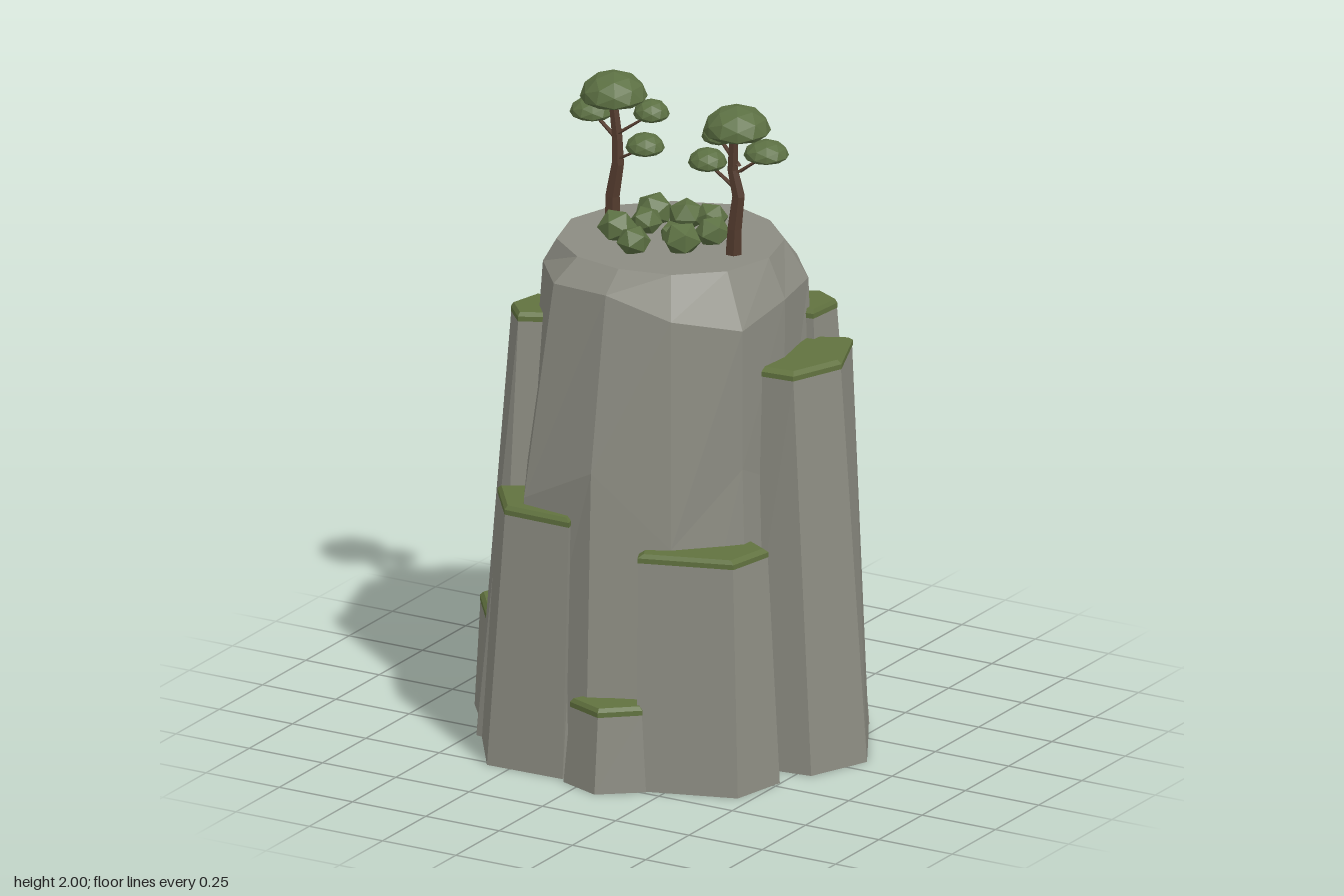
import * as THREE from 'three';

const mat = (name, color) => new THREE.MeshStandardMaterial({ name, color, flatShading: true });

// Skin a list of rings (arrays of [x, y, z], clockwise from above, bottom to top), closed at both ends
function loft(rings) {
  const pos = [];
  const tri = (...p) => p.forEach(v => pos.push(...v));
  const centre = r => [0, 1, 2].map(k => r.reduce((s, p) => s + p[k], 0) / r.length);
  const n = rings[0].length, last = rings[rings.length - 1];
  const lo = centre(rings[0]), hi = centre(last);
  for (let i = 0; i < n; i++) {
    const j = (i + 1) % n;
    for (let r = 0; r < rings.length - 1; r++) {
      const a = rings[r], b = rings[r + 1];
      tri(a[i], b[i], a[j]);
      tri(a[j], b[i], b[j]);
    }
    tri(lo, rings[0][i], rings[0][j]);
    tri(hi, last[j], last[i]);
  }
  const g = new THREE.BufferGeometry();
  g.setAttribute('position', new THREE.Float32BufferAttribute(pos, 3));
  g.computeVertexNormals();
  return g;
}

// Outline at a height, scaled about its own centre
function level(outline, y, s = 1) {
  const cx = outline.reduce((t, p) => t + p[0], 0) / outline.length;
  const cz = outline.reduce((t, p) => t + p[1], 0) / outline.length;
  return outline.map(([x, z]) => [cx + (x - cx) * s, y, cz + (z - cz) * s]);
}

// Faceted ring of the main rock from radii every 30 degrees
const rockRing = (radii, heights) => radii.map((r, i) => {
  const a = i * Math.PI / 6;
  return [r * Math.cos(a), heights[i] ?? heights[0], r * Math.sin(a)];
});

// Leaf clump: dome above, shallow underside
function clump(r, up, down, detail) {
  const g = new THREE.IcosahedronGeometry(1, detail);
  const p = g.attributes.position;
  for (let i = 0; i < p.count; i++) {
    const y = p.getY(i);
    p.setXYZ(i, p.getX(i) * r, y * (y > 0 ? up : down), p.getZ(i) * r);
  }
  g.computeVertexNormals();
  return g;
}

// Tapered limb along a few points
function limb(points, r0, r1, sides) {
  return loft(points.map(([x, y, z], k) => {
    const r = r0 + (r1 - r0) * k / (points.length - 1);
    return Array.from({ length: sides }, (_, i) => {
      const a = i / sides * Math.PI * 2;
      return [x + r * Math.cos(a), y, z + r * Math.sin(a)];
    });
  }));
}

export function createModel() {
  const stone = mat('stone', 0x8c8c82);
  const moss = mat('moss', 0x61723f);
  const leaf = mat('leaf', 0x5c7043);
  const bark = mat('bark', 0x523a2d);
  const root = new THREE.Group();
  root.name = 'rockPillar';
  const add = (parent, name, geo, material) => {
    const m = new THREE.Mesh(geo, material);
    m.name = name;
    parent.add(m);
    return m;
  };

  // Main rock
  add(root, 'mainRock', loft([
    rockRing([.46, .46, .47, .5, .5, .47, .46, .47, .48, .5, .47, .47], [0]),
    rockRing([.38, .42, .43, .47, .5, .42, .4, .44, .44, .49, .44, .42],
      [.85, .95, .72, .95, .82, .9, .8, .95, .8, .9, .8, .9]),
    rockRing([.385, .42, .4, .385, .4, .38, .365, .4, .42, .49, .42, .4],
      [1.42, 1.38, 1.42, 1.48, 1.47, 1.47, 1.48, 1.45, 1.42, 1.4, 1.42, 1.42]),
    rockRing([.33, .33, .32, .31, .32, .34, .345, .34, .33, .35, .33, .33], [1.54]),
  ]), stone);

  // Leaning stone columns with moss caps
  const column = (name, h, top, base) => {
    const g = new THREE.Group();
    g.name = name;
    root.add(g);
    add(g, 'columnStone', loft([level(base, 0), level(top, h - 0.025)]), stone);
    add(g, 'mossCap', loft([level(top, h - 0.027, 1.015), level(top, h - 0.012, 1.015), level(top, h, 0.92)]), moss);
  };
  column('leftColumn', 1.24,
    [[.46, -.26], [.54, -.06], [.475, .105], [.3, .12], [.25, -.05], [.34, -.2]],
    [[.49, -.305], [.623, -.07], [.545, .12], [.3, .15], [.2, -.1], [.36, -.3]]);
  column('backLeftColumn', .88,
    [[.03, -.52], [.265, -.51], [.37, -.36], [.3, -.25], [.1, -.3]],
    [[.02, -.565], [.285, -.565], [.42, -.4], [.35, -.25], [.05, -.3]]);
  column('backLeftSpire', 1.33,
    [[.3, -.345], [.385, -.3], [.375, -.18], [.3, -.17], [.26, -.32]],
    [[.33, -.41], [.46, -.36], [.44, -.18], [.3, -.17], [.26, -.35]]);
  column('backColumn', .42,
    [[-.34, -.44], [-.23, -.565], [.02, -.53], [.02, -.4], [-.2, -.3]],
    [[-.36, -.45], [-.245, -.587], [.03, -.565], [.05, -.4], [-.2, -.3]]);
  column('backRightColumn', 1.18,
    [[-.49, -.07], [-.465, -.335], [-.325, -.405], [-.2, -.33], [-.25, -.05]],
    [[-.57, -.07], [-.545, -.36], [-.345, -.48], [-.2, -.36], [-.25, -.03]]);
  column('rightStub', .355,
    [[-.48, .25], [-.61, .075], [-.55, -.085], [-.38, -.06], [-.35, .2]],
    [[-.48, .27], [-.627, .08], [-.565, -.1], [-.38, -.1], [-.35, .24]]);
  column('rightSpire', 1.33,
    [[-.36, .28], [-.425, .21], [-.4, .1], [-.28, .08], [-.26, .23]],
    [[-.4, .33], [-.485, .31], [-.49, .12], [-.28, .1], [-.28, .3]]);
  column('frontRightColumn', .8,
    [[-.07, .48], [-.29, .475], [-.405, .32], [-.28, .25], [-.1, .38]],
    [[-.07, .515], [-.325, .52], [-.46, .32], [-.3, .25], [-.07, .35]]);
  column('frontLeftColumn', .72,
    [[.45, .21], [.42, .36], [.15, .45], [.12, .38], [.25, .3], [.38, .17]],
    [[.497, .22], [.46, .4], [.17, .495], [.12, .4], [.25, .25], [.4, .15]]);
  column('frontStub', .26,
    [[.18, .48], [.08, .565], [-.04, .52], [0, .44], [.13, .4]],
    [[.2, .49], [.08, .585], [-.055, .535], [0, .42], [.13, .38]]);

  // Trees: bent trunk, crown, and side clumps each on a thin branch
  const tree = (name, trunk, crown, sides) => {
    const g = new THREE.Group();
    g.name = name;
    root.add(g);
    add(g, 'trunk', limb(trunk, .027, .014, 6), bark);
    add(g, 'crown', clump(.1, .075, .03, 1), leaf).position.set(...crown);
    for (const [x, y, z, r] of sides) {
      const [tx, , tz] = trunk[2];
      add(g, 'branch', limb([[tx, y - .06, tz], [x, y, z]], .01, .006, 5), bark);
      add(g, 'sideClump', clump(r, .045, .022, 1), leaf).position.set(x, y, z);
    }
  };
  tree('rightTree',
    [[-.23, 1.52, -.045], [-.23, 1.62, -.045], [-.215, 1.72, -.05], [-.22, 1.8, -.055], [-.24, 1.93, -.06]],
    [-.235, 1.925, -.06],
    [[-.32, 1.855, -.08, .067], [-.11, 1.795, -.03, .058], [-.13, 1.875, -.1, .054]]);
  tree('leftTree',
    [[.22, 1.52, .02], [.225, 1.62, .02], [.235, 1.72, .015], [.215, 1.8, .015], [.22, 1.93, .015]],
    [.23, 1.925, .015],
    [[.315, 1.855, -.01, .067], [.115, 1.795, -.01, .058], [.14, 1.875, -.03, .05]]);

  // Bushes on the summit
  const bushes = [[-.14, .08, .06], [-.04, .155, .052], [.01, .015, .04], [.08, .08, .06], [-.02, -.115, .056],
    [.05, -.14, .052], [-.12, -.1, .06], [-.1, -.02, .05], [.12, -.03, .055]];
  bushes.forEach(([x, z, r], i) => {
    const b = add(root, 'bush', clump(r, r * .95, r * .8, 0), leaf);
    b.position.set(x, 1.54 + r * .6, z);
    b.rotation.y = i * 1.3;
  });
  return root;
}
